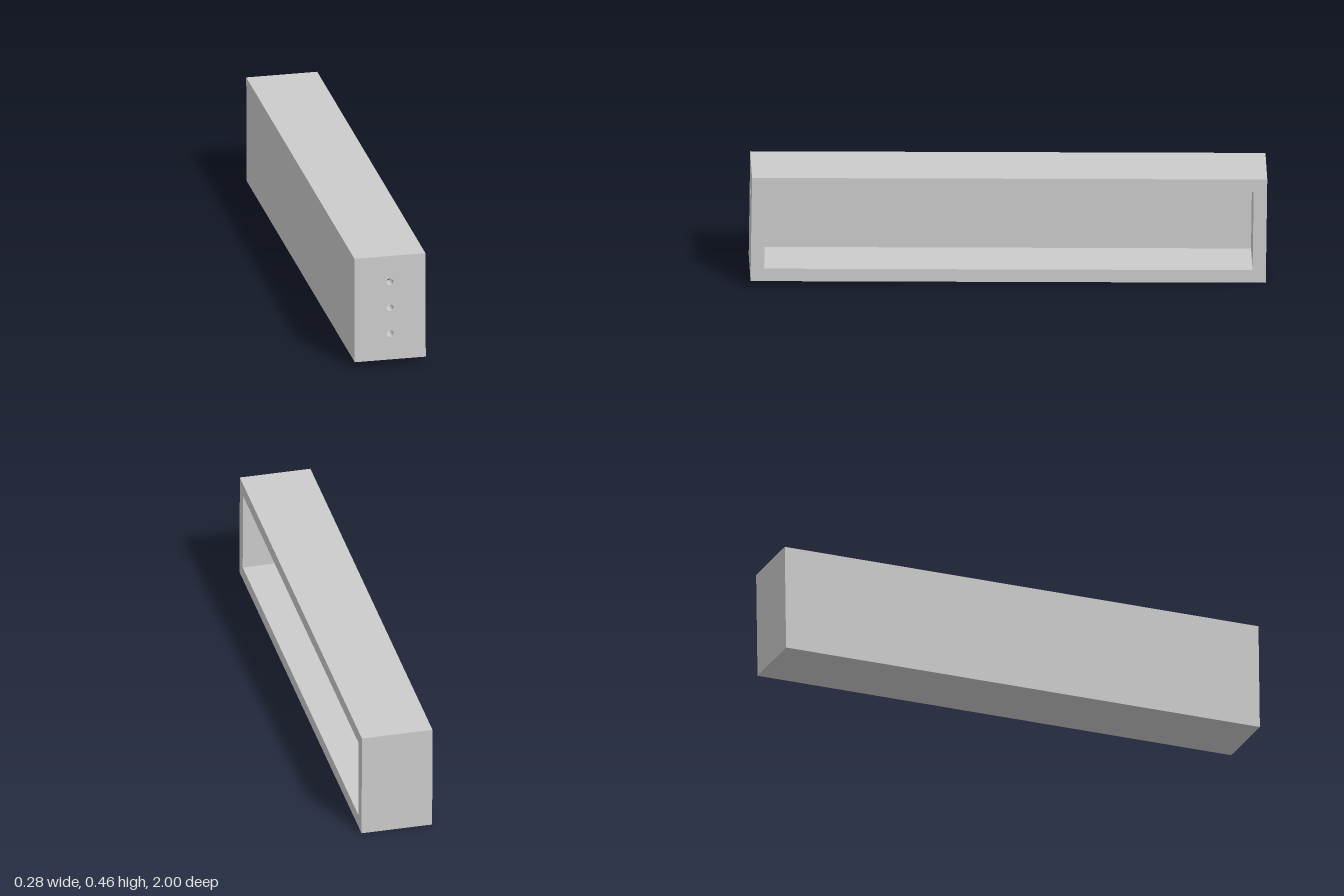
import * as THREE from 'three';

const W = 0.281, H = 0.429, L = 1.994; // outer size
const T = 0.052;                       // wall thickness
const TILT = 0.0136;                   // front end slightly raised
const HOLE_R = 0.0135, HOLE_STEP = 0.107;

const material = new THREE.MeshStandardMaterial({ color: 0xcccccc });
const boreMaterial = new THREE.MeshStandardMaterial({ color: 0xcccccc, side: THREE.BackSide });

function rect(path, w, h) {
  path.moveTo(-w / 2, -h / 2);
  path.lineTo(w / 2, -h / 2);
  path.lineTo(w / 2, h / 2);
  path.lineTo(-w / 2, h / 2);
  path.closePath();
  return path;
}

// Three round holes in a column at the given x
function holeColumn(x) {
  return [-1, 0, 1].map((i) => new THREE.Path().absarc(x, i * HOLE_STEP, HOLE_R, 0, Math.PI * 2, true));
}

// Flat panel facing +z before it is turned
function panel(name, w, h, position, rx, ry, holes = []) {
  const shape = rect(new THREE.Shape(), w, h);
  shape.holes.push(...holes);
  const mesh = new THREE.Mesh(new THREE.ShapeGeometry(shape, 16), material);
  mesh.name = name;
  mesh.position.set(...position);
  mesh.rotation.set(rx, ry, 0);
  return mesh;
}

export function createModel() {
  const model = new THREE.Group();
  model.name = 'openSidedBox';
  const box = new THREE.Group();
  box.name = 'box';
  const Q = Math.PI / 2;

  // Outer faces
  box.add(
    panel('outerFront', W, H, [0, 0, L / 2], 0, 0, holeColumn(0)),
    panel('outerBack', W, H, [0, 0, -L / 2], 0, Math.PI),
    panel('outerTop', W, L, [0, H / 2, 0], -Q, 0),
    panel('outerBottom', W, L, [0, -H / 2, 0], Q, 0),
    panel('outerClosedSide', L, H, [-W / 2, 0, 0], 0, -Q)
  );

  // Rim around the opening on the left side
  const iw = W - T, ih = H - 2 * T, il = L - 2 * T, cx = T / 2;
  box.add(panel('openingRim', L, H, [W / 2, 0, 0], 0, Q, [rect(new THREE.Path(), il, ih)]));

  // Cavity faces, turned inward
  box.add(
    panel('innerFront', iw, ih, [cx, 0, il / 2], 0, Math.PI, holeColumn(cx)),
    panel('innerBack', iw, ih, [cx, 0, -il / 2], 0, 0),
    panel('innerTop', iw, il, [cx, ih / 2, 0], Q, 0),
    panel('innerFloor', iw, il, [cx, -ih / 2, 0], -Q, 0),
    panel('innerClosedSide', il, ih, [-W / 2 + T, 0, 0], 0, Q)
  );

  // Bores through the front wall
  const bore = new THREE.CylinderGeometry(HOLE_R, HOLE_R, T, 32, 1, true).rotateX(Q);
  for (const i of [-1, 0, 1]) {
    const mesh = new THREE.Mesh(bore, boreMaterial);
    mesh.name = 'frontHole';
    mesh.position.set(0, i * HOLE_STEP, L / 2 - T / 2);
    box.add(mesh);
  }

  // Tilt, then rest the low back edge on the ground
  box.rotation.x = -TILT;
  box.position.y = (H * Math.cos(TILT) + L * Math.sin(TILT)) / 2;
  model.add(box);
  return model;
}
